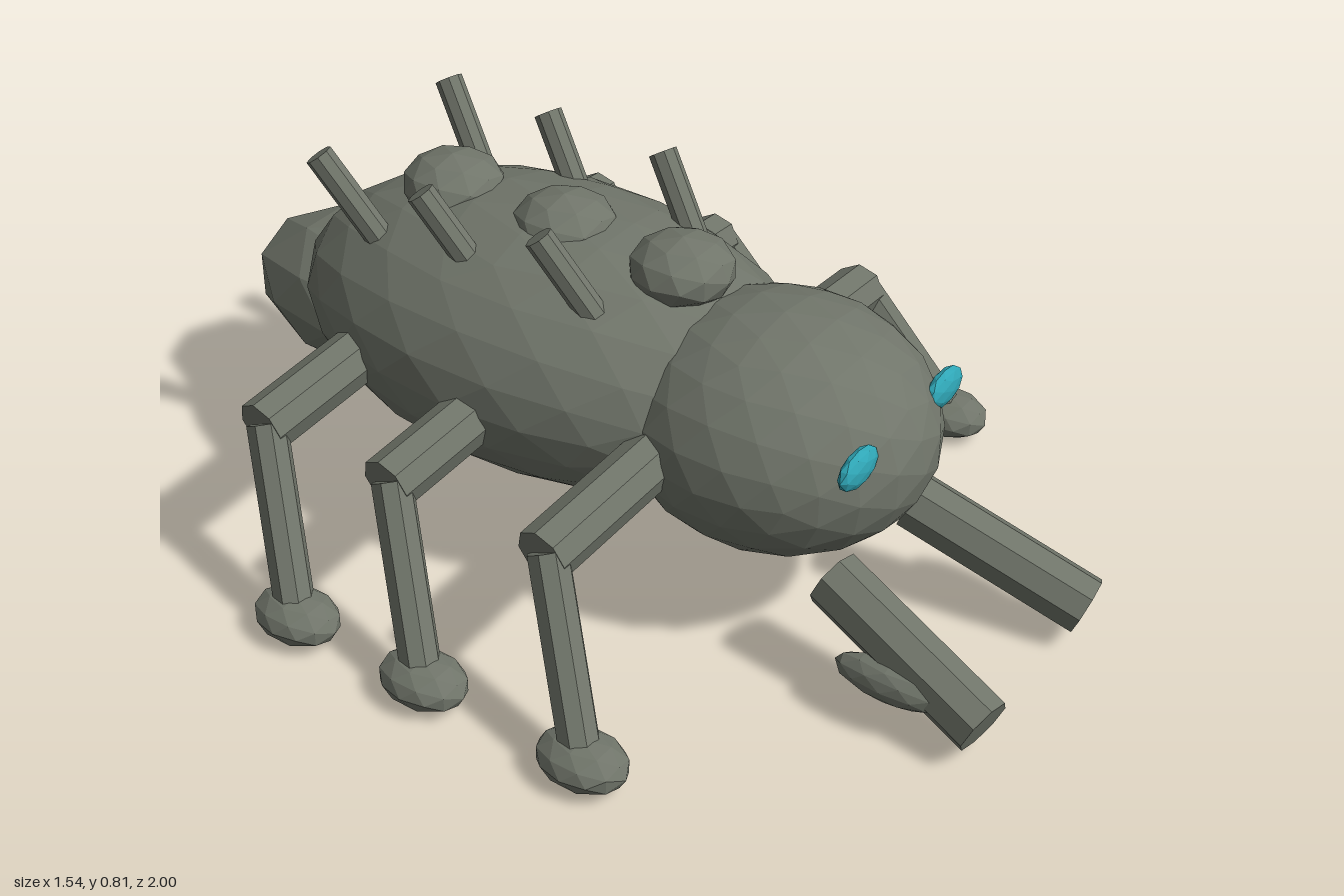
import * as THREE from 'three';

const shell = new THREE.MeshStandardMaterial({ color: 0x70756a, flatShading: true });
shell.name = 'grey shell';
const teal = new THREE.MeshStandardMaterial({ color: 0x2fa6b6, flatShading: true });
teal.name = 'teal eye';

// Faceted ellipsoid
function ellipsoid(name, center, radii, detail, material = shell) {
  const geometry = new THREE.IcosahedronGeometry(1, detail);
  geometry.scale(...radii);
  const mesh = new THREE.Mesh(geometry, material);
  mesh.name = name;
  mesh.position.set(...center);
  return mesh;
}

// Eight-sided rod between two points
function rod(name, from, to, radius) {
  const a = new THREE.Vector3(...from);
  const b = new THREE.Vector3(...to);
  const dir = b.clone().sub(a);
  const mesh = new THREE.Mesh(new THREE.CylinderGeometry(radius, radius, dir.length(), 8), shell);
  mesh.name = name;
  mesh.position.copy(a).add(b).multiplyScalar(0.5);
  mesh.quaternion.setFromUnitVectors(new THREE.Vector3(0, 1, 0), dir.normalize());
  return mesh;
}

export function createModel() {
  const model = new THREE.Group();
  model.name = 'beetle';

  // Body
  model.add(
    ellipsoid('abdomen', [0, 0.44, -0.19], [0.375, 0.28, 0.61], 3),
    ellipsoid('head', [0, 0.427, 0.37], [0.31, 0.248, 0.33], 3),
    ellipsoid('tail', [0, 0.345, -0.65], [0.21, 0.17, 0.35], 1),
  );

  // Bumps along the back
  for (const z of [0.13, -0.16, -0.45]) {
    model.add(ellipsoid('backBump', [0, 0.69, z], [0.11, 0.07, 0.11], 1));
  }

  for (const s of [1, -1]) {
    const side = s > 0 ? 'left' : 'right';

    model.add(ellipsoid(side + 'Eye', [s * 0.163, 0.515, 0.64], [0.065, 0.04, 0.022], 1, teal));

    // Forward arm with a small fin on its outer side
    model.add(
      rod(side + 'Arm', [s * 0.155, 0.228, 0.597], [s * 0.217, 0.086, 0.973], 0.063),
      ellipsoid(side + 'ArmFin', [s * 0.24, 0.115, 0.78], [0.04, 0.042, 0.12], 1),
    );

    // Back spikes leaning outward and to the rear
    for (const z of [-0.065, -0.36, -0.63]) {
      model.add(rod(side + 'Spike', [s * 0.17, 0.61, z + 0.125], [s * 0.21, 0.793, z], 0.03));
    }

    // Legs: [knee z, foot z]
    [[0.21, 0.39], [-0.17, 0.005], [-0.498, -0.325]].forEach(([kneeZ, footZ], i) => {
      const leg = new THREE.Group();
      leg.name = side + ['Front', 'Middle', 'Rear'][i] + 'Leg';
      leg.add(
        rod('upperLeg', [s * 0.22, 0.433, kneeZ + 0.035], [s * 0.575, 0.372, kneeZ], 0.06),
        rod('lowerLeg', [s * 0.568, 0.385, kneeZ + 0.01], [s * 0.69, 0.07, footZ - 0.01], 0.042),
        ellipsoid('foot', [s * 0.695, 0.052, footZ], [0.074, 0.05, 0.1], 1),
      );
      model.add(leg);
    });
  }

  return model;
}
